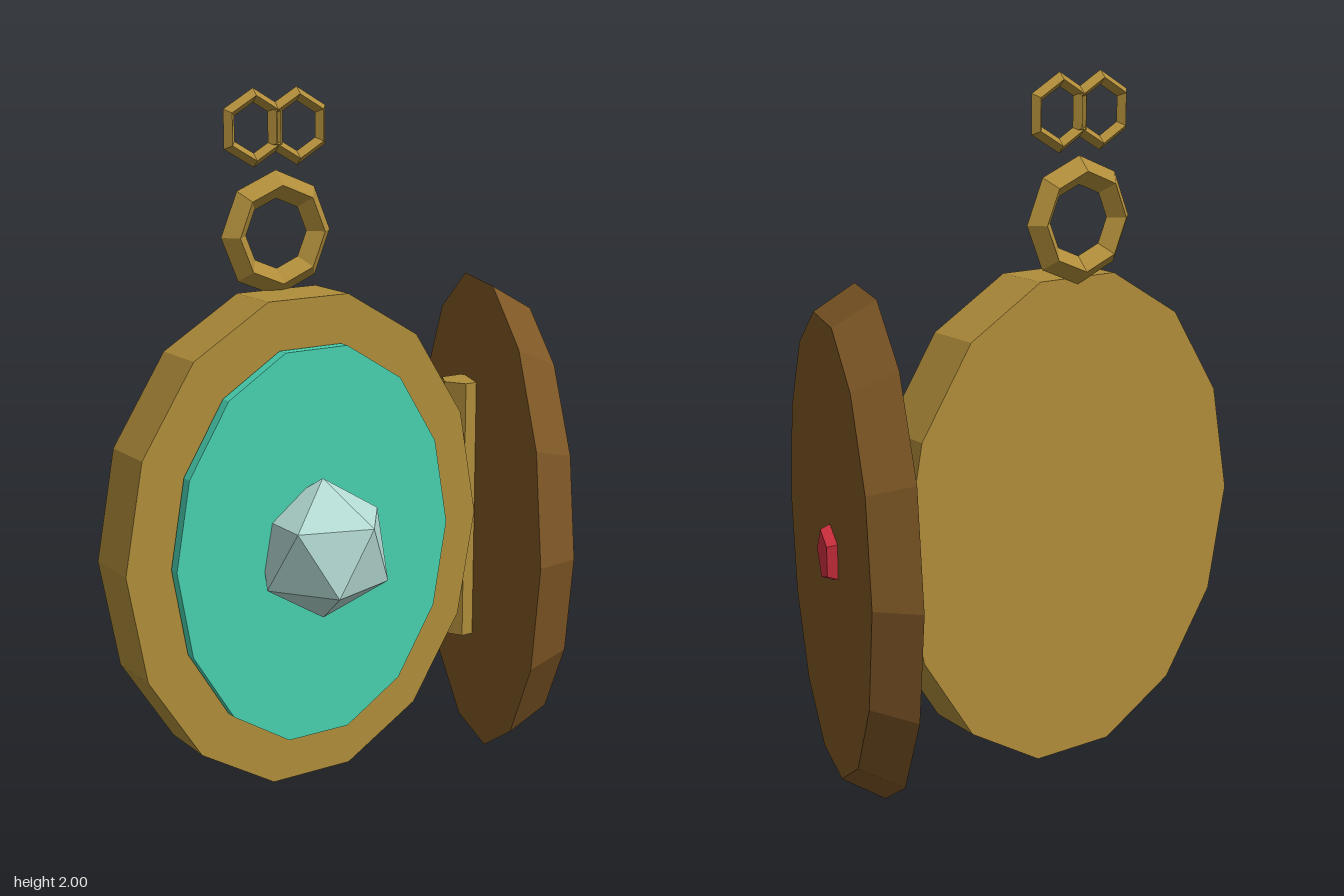
import * as THREE from 'three';

const mat = (name, color) => {
  const m = new THREE.MeshStandardMaterial({ color, flatShading: true });
  m.name = name;
  return m;
};

// Faceted oval disc facing +z, back face at z = 0, with one corner on -x
function disc(rx, ry, depth, sides, taper = 1) {
  const g = new THREE.CylinderGeometry(rx * taper, rx, depth, sides);
  g.rotateY(-Math.PI / 2);
  g.rotateX(Math.PI / 2);
  g.scale(1, ry / rx, 1);
  g.translate(0, 0, depth / 2);
  return g;
}

export function createModel() {
  const gold = mat('gold', 0xb08d3a);
  const teal = mat('teal', 0x48d1b0);
  const crystal = mat('pale crystal', 0xb4dad3);
  const brown = mat('brown', 0x7d5625);
  const red = mat('red', 0xd02f3d);

  const model = new THREE.Group();
  model.name = 'locket';
  const add = (name, geometry, material, x, y, z, parent = model) => {
    const mesh = new THREE.Mesh(geometry, material);
    mesh.name = name;
    mesh.position.set(x, y, z);
    parent.add(mesh);
    return mesh;
  };

  const cx = -0.145, cy = 0.715, backZ = -0.175;

  // Case, inlay and central crystal
  add('case', disc(0.59, 0.733, 0.175, 14), gold, cx, cy, backZ);
  add('inlay', disc(0.455, 0.59, 0.033, 14), teal, cx, cy, 0.007);
  const gem = add('crystal', new THREE.IcosahedronGeometry(0.208, 0), crystal, cx, cy, 0.068);
  gem.rotation.z = -Math.atan(2 / (1 + Math.sqrt(5))); // one corner straight up

  // Hinge pin
  const pin = new THREE.CylinderGeometry(0.07, 0.07, 0.8, 6);
  pin.rotateY(Math.PI / 2);
  add('hinge', pin, gold, 0.448, cy, -0.07);

  // Open lid with a small stone on its outer face
  const lid = new THREE.Group();
  lid.name = 'lid';
  lid.position.set(0.449, cy, -0.002);
  lid.rotation.y = 1.238;
  model.add(lid);
  add('lidShell', disc(0.59, 0.733, 0.12, 14, 0.9), brown, 0, 0, 0, lid);
  add('lidStone', disc(0.085, 0.085, 0.03, 5, 0.85), red, 0.063, 0, 0.118, lid);

  // Hanging ring and two chain links, all with diamond cross-sections
  add('hangingRing', new THREE.TorusGeometry(0.14, 0.04, 4, 8), gold, cx, 1.59, backZ);
  for (const side of [-1, 1]) {
    const link = new THREE.TorusGeometry(0.09, 0.02, 4, 6);
    link.rotateZ(Math.PI / 6);
    add(side < 0 ? 'rightLink' : 'leftLink', link, gold, cx + side * 0.071, 1.89, backZ);
  }

  return model;
}
